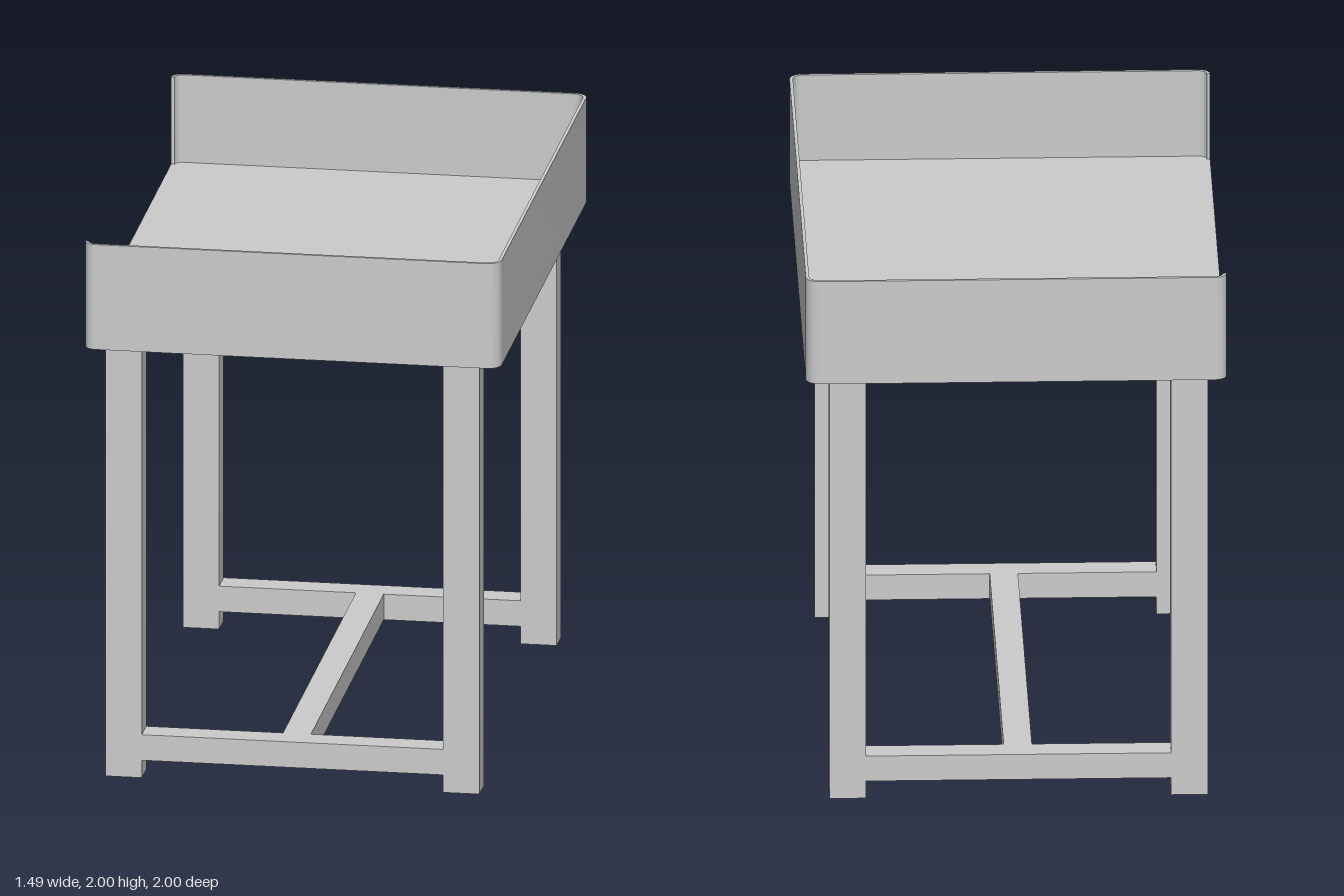
import * as THREE from 'three';
import { toCreasedNormals } from 'three/addons/utils/BufferGeometryUtils.js';

const material = new THREE.MeshStandardMaterial({ color: 0xcccccc });

const HX = 0.745, HZ = 1;            // half width and half depth of the top
const R_OPEN = 0.04, R_WALL = 0.05;  // corner radii on the open and walled sides
const WALL = 0.012;                  // thickness of the raised rim
const UNDER = 1.61, SURFACE = 1.675, RIM = 2;

function box(name, x0, x1, y0, y1, z0, z1) {
  const mesh = new THREE.Mesh(new THREE.BoxGeometry(x1 - x0, y1 - y0, z1 - z0), material);
  mesh.position.set((x0 + x1) / 2, (y0 + y1) / 2, (z0 + z1) / 2);
  mesh.name = name;
  return mesh;
}

// Extrudes a plan shape upward between two heights.
function slab(name, shape, y0, y1) {
  const geo = new THREE.ExtrudeGeometry(shape, { depth: y1 - y0, bevelEnabled: false, curveSegments: 8 });
  geo.rotateX(-Math.PI / 2);
  const mesh = new THREE.Mesh(toCreasedNormals(geo, 0.6), material);
  mesh.position.y = y0;
  mesh.name = name;
  return mesh;
}

// Rounded outline, running from one end of the open side round to the other.
function traceOutline(shape) {
  const q = Math.PI / 2;
  shape.moveTo(-HX, -HZ + R_OPEN);
  shape.absarc(-HX + R_OPEN, -HZ + R_OPEN, R_OPEN, 2 * q, 3 * q, false);
  shape.absarc(HX - R_WALL, -HZ + R_WALL, R_WALL, 3 * q, 4 * q, false);
  shape.absarc(HX - R_WALL, HZ - R_WALL, R_WALL, 0, q, false);
  shape.absarc(-HX + R_OPEN, HZ - R_OPEN, R_OPEN, q, 2 * q, false);
  return shape;
}

// The same outline, closed by its inner offset to make a three-sided wall.
function rimShape() {
  const q = Math.PI / 2;
  const shape = traceOutline(new THREE.Shape());
  const ro = R_OPEN - WALL, rw = R_WALL - WALL;
  shape.absarc(-HX + R_OPEN, HZ - R_OPEN, ro, 2 * q, q, true);
  shape.absarc(HX - R_WALL, HZ - R_WALL, rw, q, 0, true);
  shape.absarc(HX - R_WALL, -HZ + R_WALL, rw, 4 * q, 3 * q, true);
  shape.absarc(-HX + R_OPEN, -HZ + R_OPEN, ro, 3 * q, 2 * q, true);
  shape.closePath();
  return shape;
}

export function createModel() {
  const model = new THREE.Group();
  model.name = 'changingTable';

  // Top board and the rim around three of its sides
  const board = traceOutline(new THREE.Shape());
  board.closePath();
  model.add(slab('topBoard', board, UNDER, SURFACE));
  model.add(slab('rimWall', rimShape(), SURFACE, RIM));

  // Legs and low cross rails, front and back
  for (const [end, z0, z1] of [['front', 0.82, 0.92], ['back', -0.92, -0.82]]) {
    model.add(box(end + 'RightLeg', -0.68, -0.55, 0, UNDER, z0, z1));
    model.add(box(end + 'LeftLeg', 0.53, 0.66, 0, UNDER, z0, z1));
    model.add(box(end + 'Rail', -0.55, 0.53, 0.065, 0.16, z0, z1));
  }

  // Stretcher joining the two rails
  model.add(box('stretcher', -0.06, 0.04, 0.065, 0.16, -0.82, 0.82));

  return model;
}
